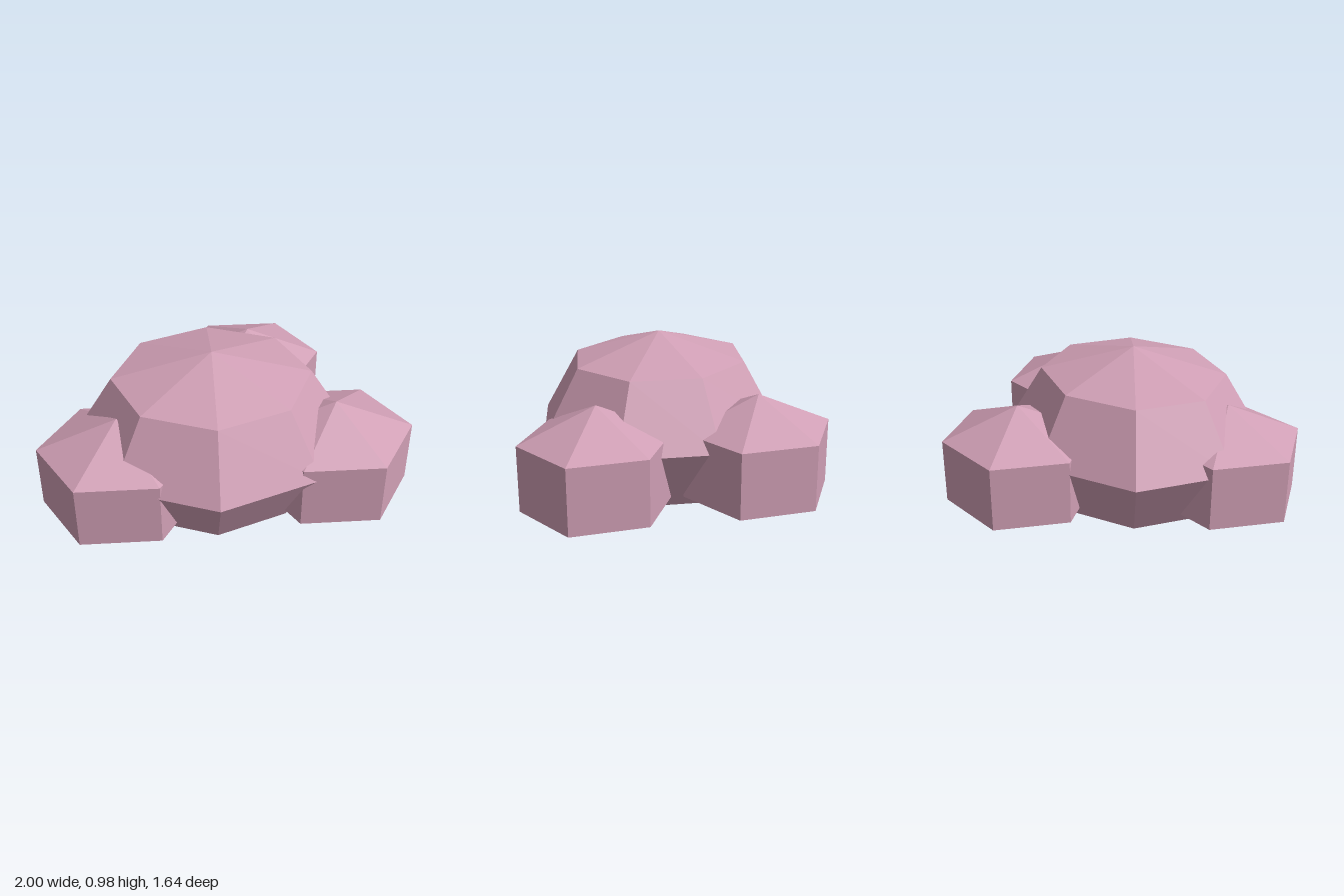
import * as THREE from 'three';

export function createModel() {
  const group = new THREE.Group();
  group.name = 'puffCluster';

  const pink = new THREE.MeshStandardMaterial({ color: 0xd09fb5, flatShading: true });
  pink.name = 'dustyPink';

  // Faceted ellipsoid: segment counts, radii and centre
  function puff(name, around, up, radii, centre) {
    const geometry = new THREE.SphereGeometry(1, around, up);
    geometry.scale(...radii);
    const mesh = new THREE.Mesh(geometry, pink);
    mesh.name = name;
    mesh.position.set(...centre);
    group.add(mesh);
  }

  // Large central puff
  puff('mainPuff', 8, 4, [0.75, 0.492, 0.684], [-0.07, 0.492, 0.139]);

  // Three smaller puffs around it
  const small = [0.49, 0.355, 0.464];
  puff('leftPuff', 6, 3, small, [0.575, 0.384, 0.285]);
  puff('rightPuff', 6, 3, small, [-0.575, 0.384, 0.358]);
  puff('backPuff', 6, 3, small, [0.177, 0.384, -0.474]);

  return group;
}
